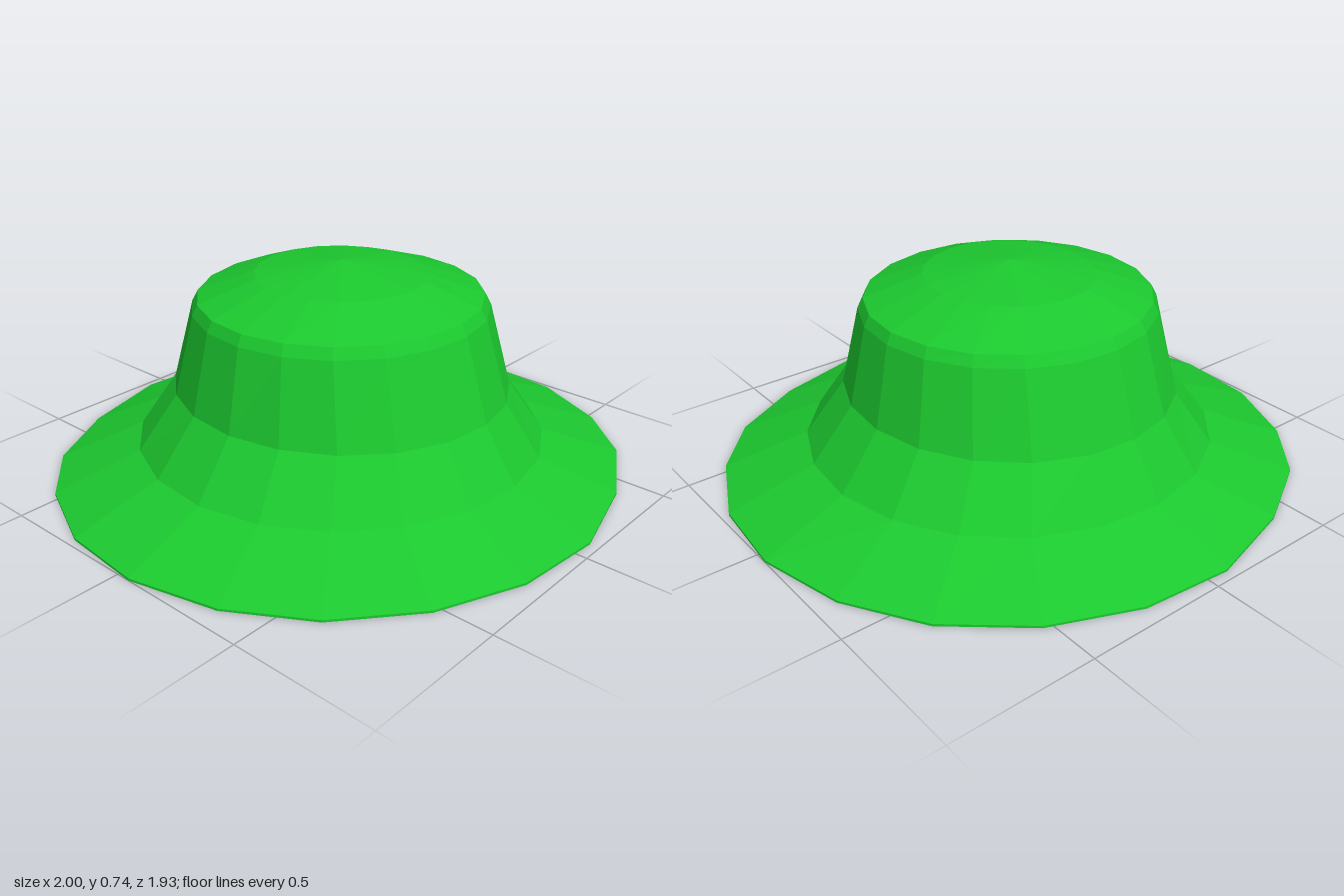
import * as THREE from 'three';

const SIDES = 20;
const START = THREE.MathUtils.degToRad(-3.2);

// Half of the slightly irregular brim outline [x, z]; the other half is its point mirror
const RIM = [
  [1.0, -0.05], [0.973, 0.25], [0.85, 0.525], [0.674, 0.727], [0.406, 0.876],
  [0.075, 0.967], [-0.24, 0.939], [-0.53, 0.816], [-0.77, 0.613], [-0.927, 0.355],
];

// Ring of points: an ellipse with radii rx and rz at height y
function ellipse(rx, rz, y) {
  return Array.from({ length: SIDES }, (_, i) => {
    const a = START + (i / SIDES) * Math.PI * 2;
    return [rx * Math.cos(a), y, rz * Math.sin(a)];
  });
}

// Ring of points along the brim outline
function rim(y) {
  return Array.from({ length: SIDES }, (_, i) => {
    const [x, z] = RIM[i % 10];
    const s = i < 10 ? 1 : -1;
    return [s * x, y, s * z];
  });
}

// Skin consecutive rings with outward facing faces
function skin(name, material, rings) {
  const index = [];
  for (let r = 0; r < rings.length - 1; r++) {
    for (let i = 0; i < SIDES; i++) {
      const j = (i + 1) % SIDES;
      const a = r * SIDES + i, b = r * SIDES + j;
      const c = a + SIDES, d = b + SIDES;
      index.push(a, c, b, b, c, d);
    }
  }
  const geometry = new THREE.BufferGeometry();
  geometry.setAttribute('position', new THREE.Float32BufferAttribute(rings.flat(2), 3));
  geometry.setIndex(index);
  const flat = geometry.toNonIndexed();
  flat.computeVertexNormals();
  const mesh = new THREE.Mesh(flat, material);
  mesh.name = name;
  return mesh;
}

export function createModel() {
  const hat = new THREE.Group();
  hat.name = 'hat';
  const felt = new THREE.MeshStandardMaterial({ color: 0x1cc92f, flatShading: true });

  // Sloping brim: underside, thin edge and top
  hat.add(skin('brim', felt, [
    ellipse(0.755, 0.755, 0.092), rim(0), rim(0.008), ellipse(0.71, 0.705, 0.12),
  ]));

  // Flared wall of the crown
  hat.add(skin('crownWall', felt, [
    ellipse(0.71, 0.705, 0.12), ellipse(0.565, 0.59, 0.305), ellipse(0.508, 0.503, 0.585),
  ]));

  // Bevelled, gently domed top of the crown
  hat.add(skin('crownTop', felt, [
    ellipse(0.508, 0.503, 0.585), ellipse(0.49, 0.482, 0.622),
    ellipse(0.285, 0.297, 0.692), ellipse(0, 0, 0.735),
  ]));

  // Flat panel closing the underside
  hat.add(skin('underside', felt, [ellipse(0, 0, 0.092), ellipse(0.755, 0.755, 0.092)]));

  return hat;
}
